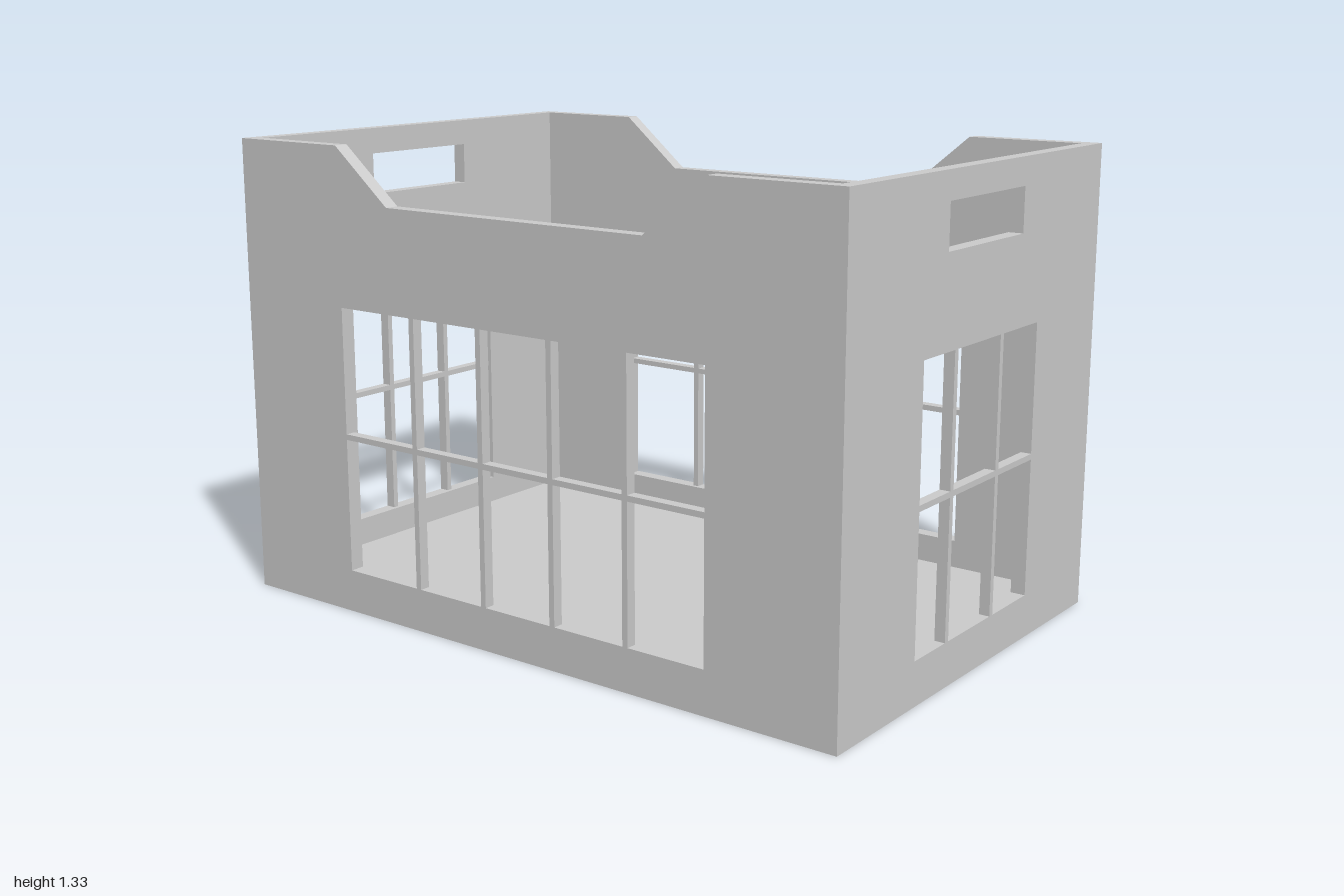
import * as THREE from 'three';

const W = 0.66, D = 1, H = 1.325;   // half width, half depth, height
const T = 0.042;                    // wall thickness
const FLOOR = 0.04;
const BAR_DEPTH = 0.03;
const WIN = { y0: 0.122, y1: 0.88 };
const material = new THREE.MeshStandardMaterial({ color: 0xcccccc, flatShading: true });

function rectHole(x0, x1, y0, y1) {
  return new THREE.Path([[x0, y0], [x0, y1], [x1, y1], [x1, y0]].map(p => new THREE.Vector2(...p)));
}

// Flat panel with openings, its outer face at local z = 0
function panel(name, outline, holes) {
  const shape = new THREE.Shape(outline.map(p => new THREE.Vector2(...p)));
  shape.holes.push(...holes);
  const geometry = new THREE.ExtrudeGeometry(shape, { depth: T, bevelEnabled: false });
  geometry.translate(0, 0, -T);
  const mesh = new THREE.Mesh(geometry, material);
  mesh.name = name;
  return mesh;
}

function box(name, w, h, d, x, y, z) {
  const mesh = new THREE.Mesh(new THREE.BoxGeometry(w, h, d), material);
  mesh.name = name;
  mesh.position.set(x, y, z);
  return mesh;
}

// Window bars, flush with the outer face
function grille(half, uprights, width) {
  const group = new THREE.Group();
  group.name = 'windowGrille';
  const z = -BAR_DEPTH / 2;
  for (const x of uprights)
    group.add(box('uprightBar', width, WIN.y1 - WIN.y0, BAR_DEPTH, x, (WIN.y0 + WIN.y1) / 2, z));
  group.add(box('crossBar', half * 2, 0.016, BAR_DEPTH, 0, 0.513, z));
  return group;
}

// End wall with a hand slot; flip mirrors the bar positions for the back
function endWall(name, flip) {
  const group = new THREE.Group();
  group.name = name;
  group.add(panel('endPanel', [[-W, 0], [W, 0], [W, H], [-W, H]], [
    rectHole(-0.303, 0.303, WIN.y0, WIN.y1),
    rectHole(-0.198, 0.198, 1.127, 1.249),
  ]));
  group.add(grille(0.303, [-0.14 * flip, 0.103 * flip], 0.017));
  return group;
}

// Side wall with a lowered top edge, fitted between the end walls
function sideWall(name, flip) {
  const group = new THREE.Group();
  group.name = name;
  const e = D - T, low = 1.17;
  group.add(panel('sidePanel', [
    [-e, 0], [e, 0], [e, H], [0.618, H], [0.43, low], [-0.43, low], [-0.618, H], [-e, H],
  ], [rectHole(-0.617, 0.617, WIN.y0, WIN.y1)]));
  group.add(grille(0.617, [0.373, 0.131, -0.11, -0.351].map(z => z * flip), 0.017));
  return group;
}

export function createModel() {
  const crate = new THREE.Group();
  crate.name = 'crate';

  const front = endWall('frontWall', 1);
  front.position.z = D;
  const back = endWall('backWall', -1);
  back.rotation.y = Math.PI;
  back.position.z = -D;

  const left = sideWall('leftWall', -1);
  left.rotation.y = Math.PI / 2;
  left.position.x = W;
  const right = sideWall('rightWall', 1);
  right.rotation.y = -Math.PI / 2;
  right.position.x = -W;

  const floor = box('floor', 2 * (W - T), FLOOR, 2 * (D - T), 0, FLOOR / 2, 0);
  crate.add(front, back, left, right, floor);
  return crate;
}
